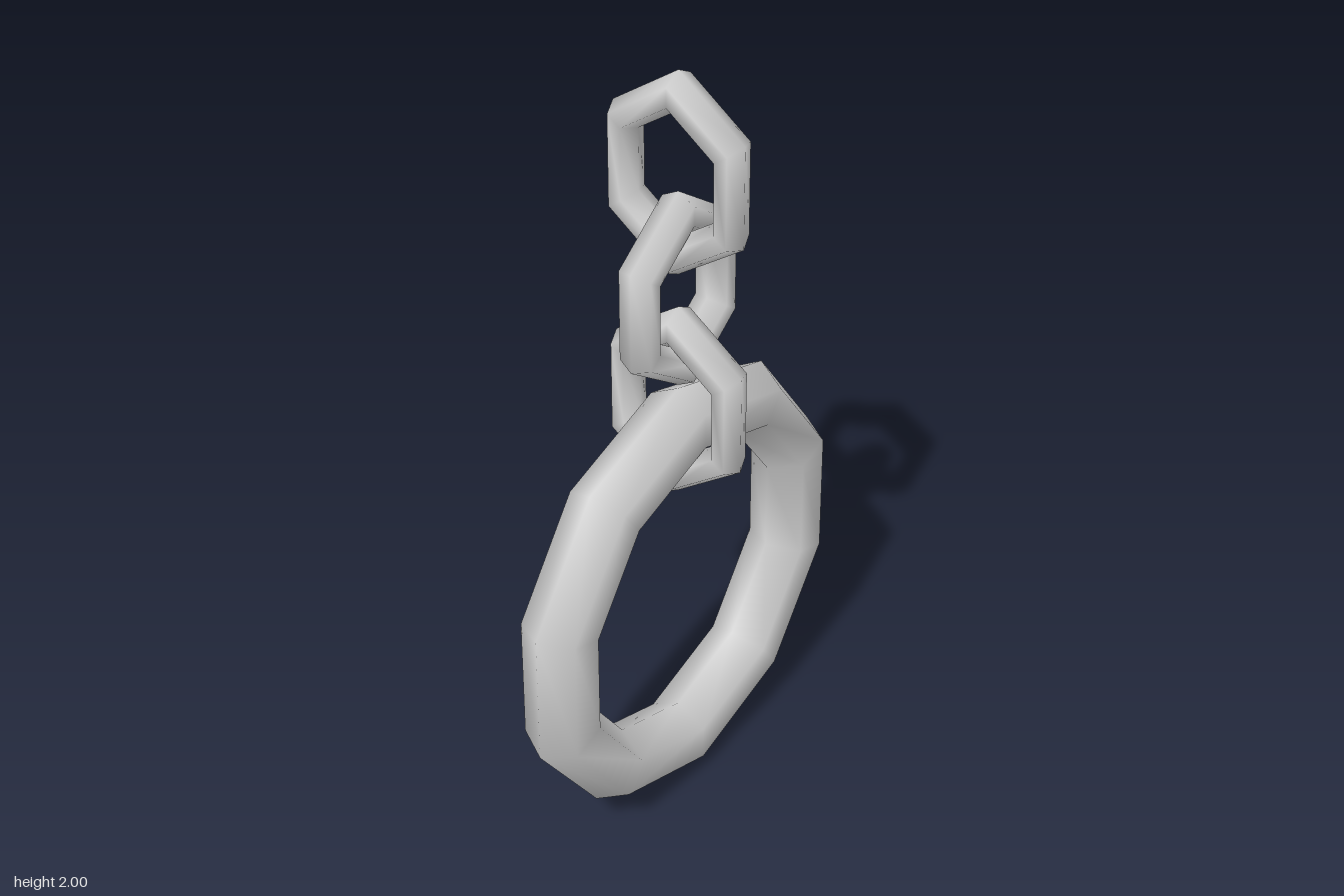
import * as THREE from 'three';

const material = new THREE.MeshStandardMaterial({ color: 0xcccccc });

// Low-sided torus standing upright with a corner at the top
function ring(name, radius, tube, segments, y) {
  const geometry = new THREE.TorusGeometry(radius, tube, 6, segments);
  geometry.rotateZ(Math.PI / 2);
  const mesh = new THREE.Mesh(geometry, material);
  mesh.name = name;
  mesh.position.y = y;
  return mesh;
}

export function createModel() {
  const model = new THREE.Group();
  model.name = 'ringOnChain';

  // Large ten-sided ring
  model.add(ring('largeRing', 0.487, 0.092, 10, 0.579));

  // Three stretched six-sided links, alternately turned a quarter
  [1.123, 1.431, 1.737].forEach((y, i) => {
    const link = ring('chainLink' + (i + 1), 0.168, 0.04, 6, y);
    link.geometry.scale(1, 1.265, 1.3);
    if (i % 2 === 0) link.rotation.y = Math.PI / 2;
    model.add(link);
  });

  return model;
}
